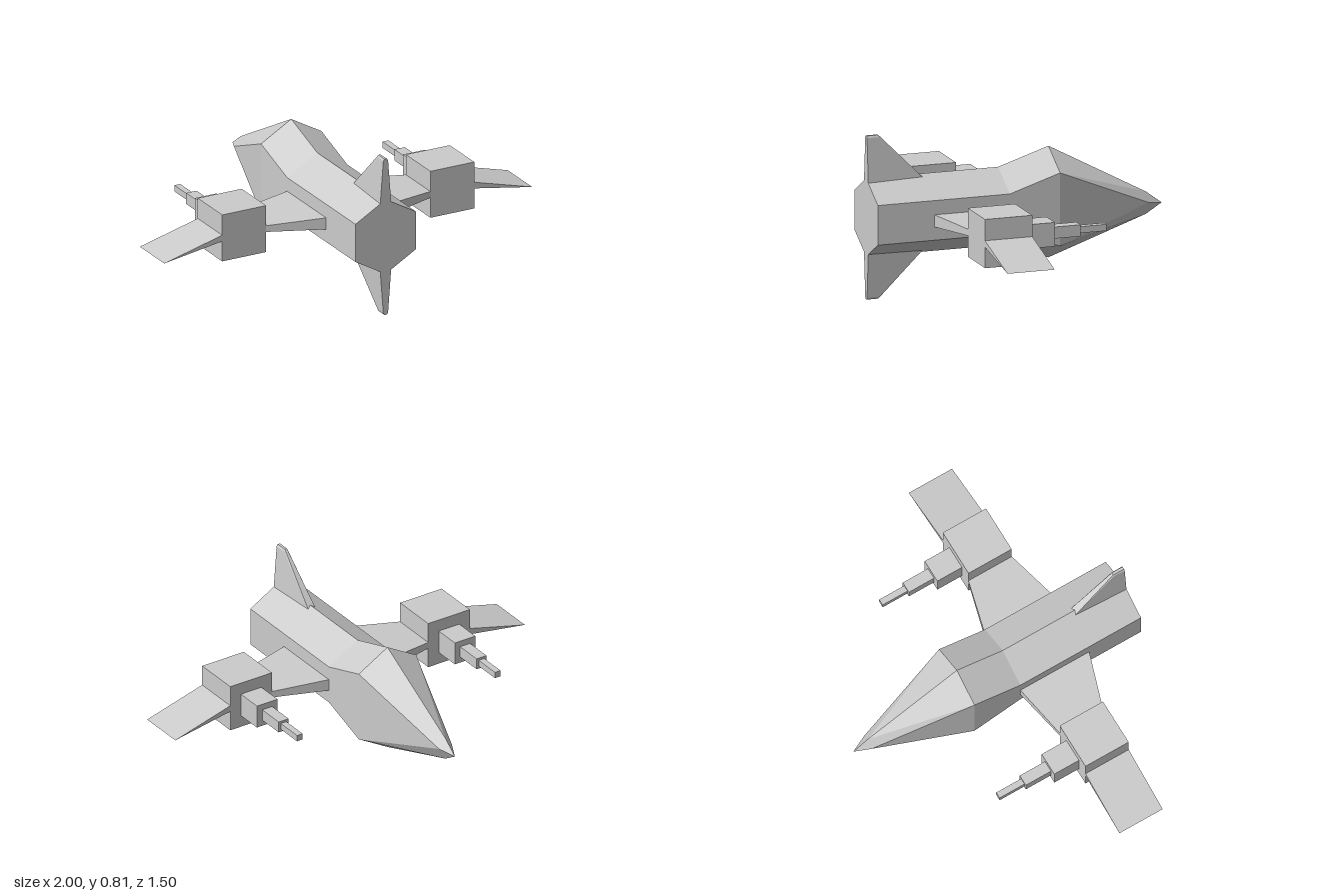
import * as THREE from 'three';
import { ConvexGeometry } from 'three/addons/geometries/ConvexGeometry.js';

const material = new THREE.MeshStandardMaterial({ color: 0xcccccc, flatShading: true });

function part(name, geometry, parent) {
  const mesh = new THREE.Mesh(geometry, material);
  mesh.name = name;
  parent.add(mesh);
  return mesh;
}

// Solid spanning the given corner points
const solid = (points) => new ConvexGeometry(points.map((p) => new THREE.Vector3(...p)));

// Square beam from its centre x, y, its z range and its side length
function beam(name, x, y, z0, z1, size, parent) {
  part(name, new THREE.BoxGeometry(size, size, z1 - z0), parent).position.set(x, y, (z0 + z1) / 2);
}

// Six-sided hull section: half width, then heights of ridge, shoulders and keel
function section(z, w, top, upper, lower, bottom) {
  return [[0, top, z], [w, upper, z], [w, lower, z], [0, bottom, z], [-w, lower, z], [-w, upper, z]];
}

function hullGeometry() {
  const rings = [
    section(0.75, 0.165, 0.595, 0.5, 0.305, 0.21),
    section(0.08, 0.165, 0.595, 0.5, 0.305, 0.21),
    section(-0.175, 0.165, 0.677, 0.582, 0.223, 0.128),
    section(-0.67, 0.037, 0.41, 0.365, 0.365, 0.3),
    section(-0.75, 0, 0.35, 0.35, 0.35, 0.35),
  ];
  const pos = [];
  const tri = (a, b, c) => {
    const [p, q, r] = [a, b, c].map((v) => new THREE.Vector3(...v));
    if (new THREE.Triangle(p, q, r).getArea() > 1e-7) pos.push(...a, ...b, ...c);
  };
  for (let s = 0; s < rings.length - 1; s++) {
    const a = rings[s], b = rings[s + 1];
    for (let i = 0; i < 6; i++) {
      const j = (i + 1) % 6;
      // Diagonals run from the shoulders to the ridge and keel
      if (i % 3 === 2) {
        tri(a[i], b[j], b[i]);
        tri(a[i], a[j], b[j]);
      } else {
        tri(a[i], a[j], b[i]);
        tri(a[j], b[j], b[i]);
      }
    }
  }
  // Flat tail
  for (let i = 1; i < 5; i++) tri(rings[0][0], rings[0][i + 1], rings[0][i]);
  const geometry = new THREE.BufferGeometry();
  geometry.setAttribute('position', new THREE.Float32BufferAttribute(pos, 3));
  geometry.computeVertexNormals();
  return geometry;
}

// Tapered tail fin; flip mirrors it below the hull
function finGeometry(flip) {
  const points = [];
  for (const s of [-1, 1]) {
    points.push(
      [s * 0.02, 0.5, 0.468], [s * 0.02, 0.58, 0.468],
      [s * 0.03, 0.5, 0.75], [s * 0.03, 0.575, 0.75],
      [s * 0.006, 0.805, 0.69], [s * 0.011, 0.795, 0.69],
      [s * 0.007, 0.805, 0.75], [s * 0.013, 0.795, 0.75],
    );
  }
  return solid(points.map(([x, y, z]) => [x, flip ? 0.805 - y : y, z]));
}

// One wing with its engine pod and stepped cannon
function buildWing(side, y, z0) {
  const wing = new THREE.Group();
  wing.name = side > 0 ? 'leftWing' : 'rightWing';
  const z1 = z0 + 0.24, x = side * 0.563;
  const inner = [], outer = [];
  for (const t of [-1, 1]) {
    inner.push(
      [side * 0.163, 0.4 + t * 0.03, 0.08], [side * 0.163, 0.4 + t * 0.03, 0.463],
      [side * 0.445, y + t * 0.016, z0], [side * 0.445, y + t * 0.016, z1],
    );
    outer.push([side * 0.68, y + t * 0.016, z0], [side * 0.68, y + t * 0.016, z1]);
  }
  outer.push([side, 0.33, z0], [side, 0.33, z1]);
  part('innerWing', solid(inner), wing);
  part('outerWing', solid(outer), wing);
  beam('pod', x, y, z0, z1, 0.24, wing);
  beam('cannonBase', x, y, z0 - 0.137, z0, 0.118, wing);
  beam('cannonBarrel', x, y, z0 - 0.277, z0 - 0.137, 0.057, wing);
  beam('cannonMuzzle', x, y, z0 - 0.415, z0 - 0.277, 0.032, wing);
  return wing;
}

export function createModel() {
  const model = new THREE.Group();
  model.name = 'spaceFighter';
  part('hull', hullGeometry(), model);
  part('upperFin', finGeometry(false), model);
  part('lowerFin', finGeometry(true), model);
  model.add(buildWing(1, 0.403, 0.154), buildWing(-1, 0.397, 0.133));
  return model;
}
